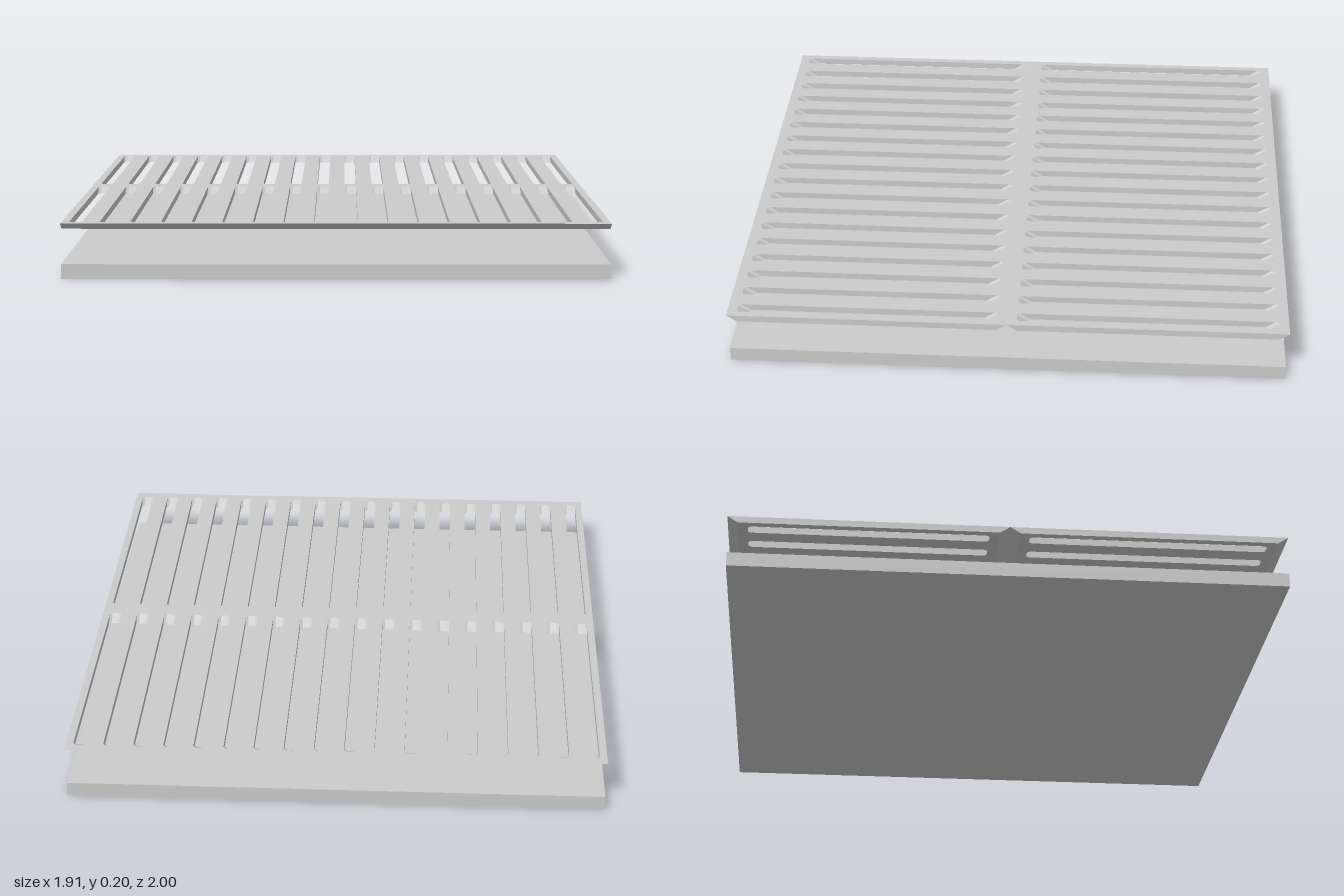
import * as THREE from 'three';

const WIDTH = 1.914;      // along x
const PANEL = 1.0;        // length of one grate panel along z
const THICK = 0.024;
const SLOPE = 0.037;      // how far the ends slant inward toward the underside
const SLOTS = 18;
const PITCH = 0.1068;

// Slot outline with clipped corners
function slotPath(cx) {
  const w = 0.0225, h = PANEL / 2 - 0.035, c = 0.01;
  return new THREE.Path([
    [-w, -h + c], [-w, h - c], [-w + c, h], [w - c, h],
    [w, h - c], [w, -h + c], [w - c, -h], [-w + c, -h],
  ].map(([x, y]) => new THREE.Vector2(cx + x, y)));
}

// Slotted plate whose outer ends and slot ends slant inward toward the bottom
function panelGeometry() {
  const a = WIDTH / 2, b = PANEL / 2;
  const shape = new THREE.Shape([[-a, -b], [a, -b], [a, b], [-a, b]]
    .map(([x, y]) => new THREE.Vector2(x, y)));
  for (let i = 0; i < SLOTS; i++) shape.holes.push(slotPath((i - (SLOTS - 1) / 2) * PITCH));

  const geo = new THREE.ExtrudeGeometry(shape, { depth: THICK, bevelEnabled: false });
  geo.rotateX(-Math.PI / 2);
  const p = geo.attributes.position;
  for (let i = 0; i < p.count; i++) {
    if (p.getY(i) < THICK / 2) p.setZ(i, p.getZ(i) - Math.sign(p.getZ(i)) * SLOPE);
  }
  geo.computeVertexNormals();
  return geo;
}

export function createModel() {
  const model = new THREE.Group();
  model.name = 'slattedFloor';
  const material = new THREE.MeshStandardMaterial({ color: 0xcccccc, flatShading: true });

  // Solid slab below
  const slab = new THREE.Mesh(new THREE.BoxGeometry(WIDTH, 0.052, 1.99), material);
  slab.name = 'baseSlab';
  slab.position.y = 0.026;
  model.add(slab);

  // Two slotted panels end to end, held above the slab
  const geo = panelGeometry();
  for (const [name, side] of [['frontSlattedPanel', 1], ['backSlattedPanel', -1]]) {
    const panel = new THREE.Mesh(geo, material);
    panel.name = name;
    panel.position.set(0, 0.172, side * PANEL / 2);
    model.add(panel);
  }
  return model;
}
